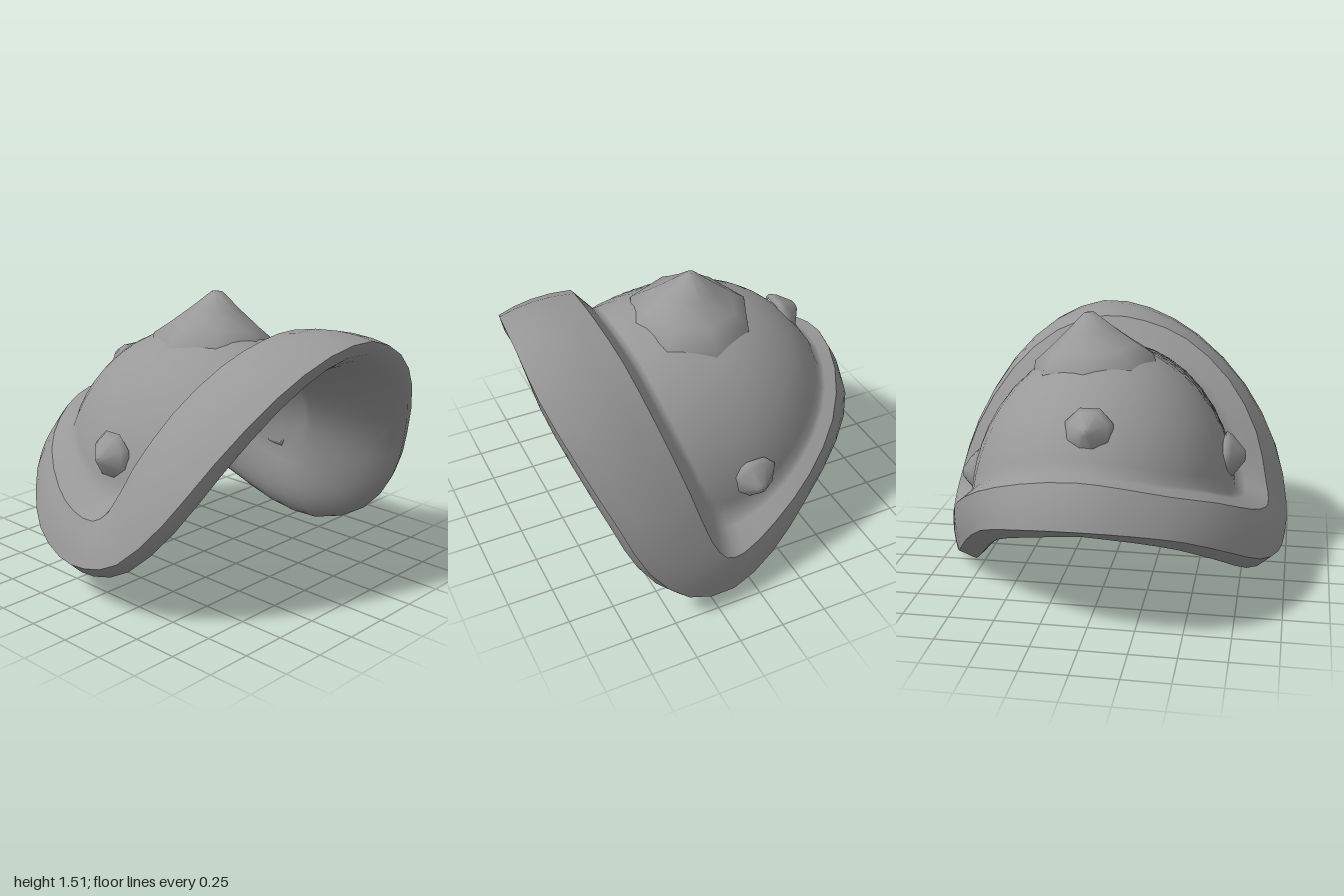
import * as THREE from 'three';

const SEG = 46; // samples around the rim
const material = new THREE.MeshStandardMaterial({ color: 0x999999 });

// Ellipsoid that carries the dome, longer towards the open (+x) end
const centre = new THREE.Vector3(-0.02, 0.45, -0.03);
const OUTER = [1, 1, 1];
const INNER = [0.9, 0.84, 0.93];

// Lower outer edge of the rim: left, front, right, back
const LOWER = [
  [-.98, .64, 0], [-.94, .62, .27], [-.83, .56, .5], [-.62, .43, .72], [-.4, .31, .87], [-.13, .245, .96],
  [.1, .26, .99], [.35, .36, .99], [.6, .62, .91], [.76, .92, .72], [.88, 1.2, .42], [.95, 1.36, .1],
  [.98, 1.39, -.2], [.97, 1.27, -.47], [.89, 1.04, -.71], [.75, .69, -.9], [.63, .41, -.975], [.42, .17, -1],
  [.13, .06, -.95], [-.15, .13, -.86], [-.42, .31, -.74], [-.7, .5, -.57], [-.9, .6, -.33],
];
// Upper edge of the rim, paired with the lower one
const UPPER = [
  [-.88, .86, -.03], [-.85, .83, .2], [-.74, .76, .43], [-.55, .67, .65], [-.3, .55, .81], [-.1, .49, .88],
  [.06, .48, .89], [.16, .55, .87], [.28, .8, .8], [.39, 1.07, .63], [.48, 1.28, .37], [.52, 1.37, .12],
  [.53, 1.39, -.12], [.5, 1.3, -.4], [.44, 1.07, -.66], [.35, .74, -.86], [.27, .46, -.95], [.19, .33, -.97],
  [.08, .3, -.95], [-.15, .38, -.88], [-.4, .53, -.78], [-.64, .69, -.6], [-.81, .81, -.33],
];

function sampleLoop(keys) {
  const curve = new THREE.CatmullRomCurve3(keys.map(k => new THREE.Vector3(...k)), true);
  return Array.from({ length: SEG }, (_, j) => curve.getPoint(j / SEG));
}

// Skin a stack of closed rings with smooth normals
function loft(name, rings, flip = false) {
  const index = [];
  for (let i = 0; i < rings.length - 1; i++) {
    for (let j = 0; j < SEG; j++) {
      const k = (j + 1) % SEG;
      const a = i * SEG + j, b = i * SEG + k, c = a + SEG, d = b + SEG;
      if (flip) index.push(a, d, b, a, c, d);
      else index.push(a, b, d, a, d, c);
    }
  }
  const geometry = new THREE.BufferGeometry().setFromPoints(rings.flat());
  geometry.setIndex(index);
  geometry.computeVertexNormals();
  const mesh = new THREE.Mesh(geometry, material);
  mesh.name = name;
  return mesh;
}

// Point on the dome: t = 0 in the direction of p, t = 1 at the crown
function domePoint(p, t, scale) {
  const u = p.clone().sub(centre);
  const radii = new THREE.Vector3(u.x > 0 ? 1.15 : 0.85, 0.88, 0.74);
  u.divide(radii).normalize();
  const up = new THREE.Vector3(0, 1, 0);
  const angle = u.angleTo(up);
  const v = u.multiplyScalar(Math.sin((1 - t) * angle))
    .addScaledVector(up, Math.sin(t * angle))
    .divideScalar(Math.sin(angle));
  return v.multiply(radii).multiply(new THREE.Vector3(...scale)).add(centre);
}

// Eight-sided stud, turned from a profile and pointed along a direction
function stud(name, profile, base, direction, turn = 0) {
  const points = profile.map(([r, h]) => new THREE.Vector2(r, h));
  const mesh = new THREE.Mesh(new THREE.LatheGeometry(points, 8, turn), material);
  mesh.name = name;
  mesh.position.set(...base);
  mesh.quaternion.setFromUnitVectors(
    new THREE.Vector3(0, 1, 0), new THREE.Vector3(...direction).normalize());
  return mesh;
}

export function createModel() {
  const group = new THREE.Group();
  group.name = 'shoulderGuard';

  const lower = sampleLoop(LOWER);
  const upper = sampleLoop(UPPER);

  // Outer band of the rim, bulging where it is wide
  const bulge = [0.25, 0.5, 0.75].map(t => lower.map((a, j) => {
    const p = a.clone().lerp(upper[j], t);
    const out = p.clone().sub(centre).normalize();
    return p.addScaledVector(out, 0.7 * t * (1 - t) * a.distanceToSquared(upper[j]));
  }));
  group.add(loft('rimBand', [lower, ...bulge, upper]));

  // Dome with a soft groove behind the rim
  const steps = [0.12, 0.19, 0.27, 0.35, 0.45, 0.55, 0.65, 0.75, 0.85, 0.93, 1];
  const foot = upper.map(b => domePoint(b, 0.06, OUTER));
  const groove = [0.35, 0.7].map(t => upper.map((b, j) => b.clone().lerp(foot[j], t)));
  group.add(loft('dome', [
    upper, ...groove, foot, ...steps.map(t => upper.map(b => domePoint(b, t, OUTER))),
  ]));

  // Underside: rim lip, then a rounded flare into the hollow of the dome
  const hub = new THREE.Vector3(0, 0.45, 0);
  const inward = lower.map(a => hub.clone().sub(a).normalize());
  const down = lower.map((a, j) => a.clone().sub(upper[j]).normalize());
  const lip = lower.map((a, j) => a.clone()
    .addScaledVector(inward[j], 0.1)
    .addScaledVector(down[j], 0.04 + 0.05 * Math.abs(a.z)));
  const throat = upper.map(b => domePoint(b, 0.08, INNER));
  const flareCurves = lip.map((p, j) => new THREE.QuadraticBezierCurve3(
    p,
    p.clone().lerp(throat[j], 0.5).addScaledVector(inward[j], 0.09).addScaledVector(down[j], 0.15),
    throat[j]));
  const flare = [0.15, 0.3, 0.45, 0.6, 0.75, 0.88].map(t => flareCurves.map(c => c.getPoint(t)));
  group.add(loft('hollow', [
    lower, lip, ...flare, throat, ...steps.slice(1).map(t => upper.map(b => domePoint(b, t, INNER))),
  ], true));

  // Large crown stud and three small studs
  group.add(stud('crownStud',
    [[0.36, -0.12], [0.33, 0], [0.25, 0.06], [0.14, 0.15], [0.03, 0.247], [0, 0.25]],
    [-0.01, 1.275, -0.09], [0, 1, -0.1]));
  const small = [[0.11, 0], [0.135, 0.015], [0.11, 0.05], [0.03, 0.115], [0, 0.12]];
  group.add(stud('frontStud', small, [-0.035, 0.755, 0.64], [0, 0.05, 1], Math.PI / 8));
  group.add(stud('sideStud', small, [-0.605, 1.03, -0.01], [-0.93, 0.35, 0], Math.PI / 8));
  group.add(stud('backStud', small, [-0.08, 0.6, -0.715], [0, -0.1, -1], Math.PI / 8));

  // Stand the piece on the ground
  group.position.y = -new THREE.Box3().setFromObject(group, true).min.y;
  return group;
}
